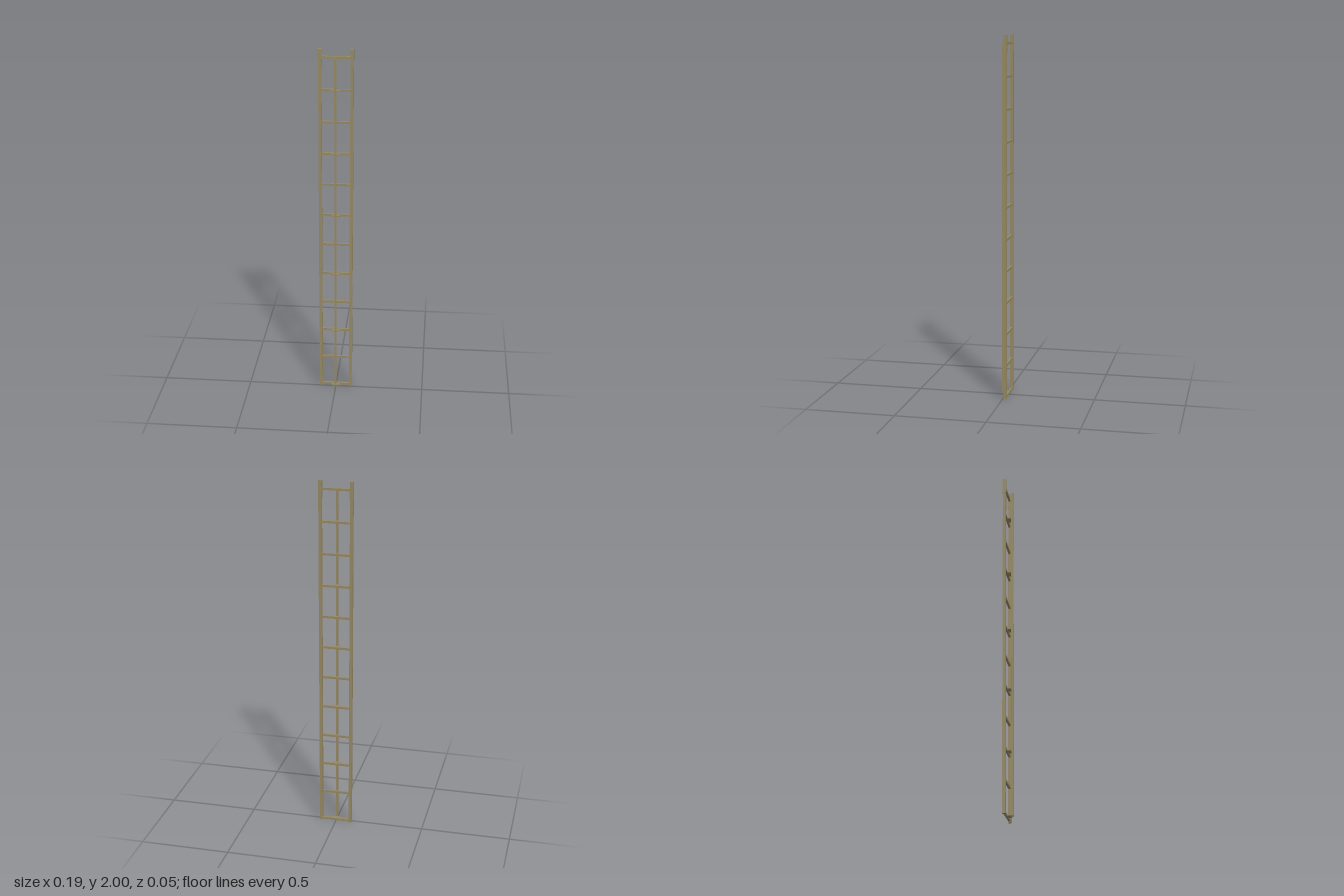
import * as THREE from 'three';

export function createModel() {
  const model = new THREE.Group();
  model.name = 'ladder';
  const material = new THREE.MeshStandardMaterial({ color: 0x968a64 });

  // Box given by its centre and size
  function box(name, [w, h, d], [x, y, z]) {
    const mesh = new THREE.Mesh(new THREE.BoxGeometry(w, h, d), material);
    mesh.name = name;
    mesh.position.set(x, y, z);
    model.add(mesh);
  }

  const railX = 0.085, railZ = -0.0135;
  const rungCount = 12, firstRung = 0.01, rungStep = 0.1768;
  const lastRung = firstRung + rungStep * (rungCount - 1);

  // Side rails with thicker sleeves at the top
  for (const [side, s] of [['left', 1], ['right', -1]]) {
    box(side + 'Rail', [0.017, 1.98, 0.017], [s * railX, 0.99, railZ]);
    box(side + 'TopSleeve', [0.019, 0.095, 0.019], [s * railX, 1.9525, railZ]);
  }

  // Rungs, with a bracket holding the safety rail on every second one
  for (let i = 0; i < rungCount; i++) {
    const y = firstRung + i * rungStep;
    box('rung', [2 * railX, 0.012, 0.012], [0, y, railZ]);
    if (i % 2 === 0) box('bracket', [0.045, 0.007, 0.018], [0, y, 0.0015]);
  }

  // Central safety rail in front of the rungs
  box('safetyRail', [0.012, lastRung - firstRung, 0.012], [0, (firstRung + lastRung) / 2, 0.0165]);

  return model;
}
